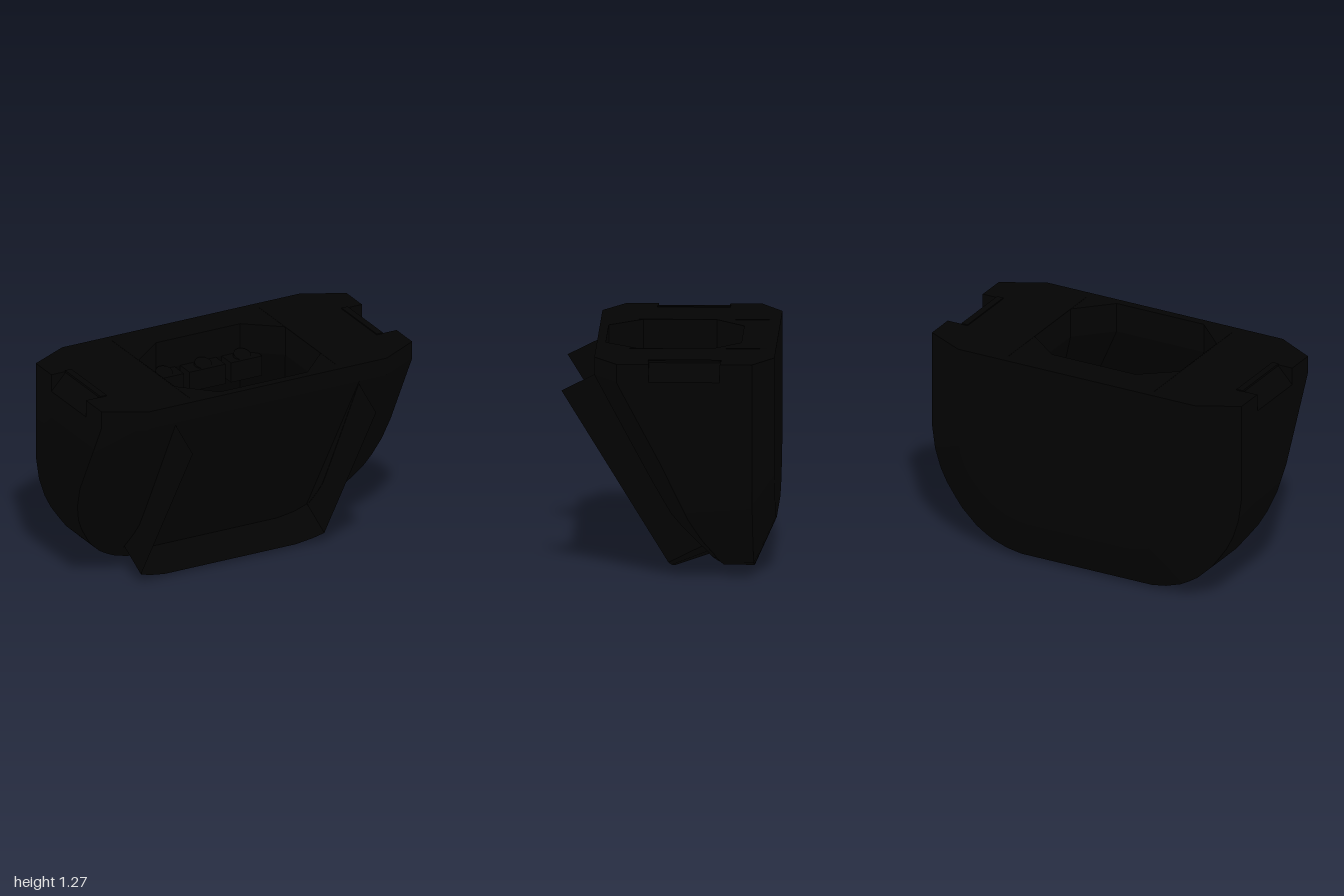
import * as THREE from 'three';
import { toCreasedNormals } from 'three/addons/utils/BufferGeometryUtils.js';

const shell = new THREE.MeshStandardMaterial({ color: 0x030303, side: THREE.DoubleSide });
shell.name = 'black shell';
const inner = new THREE.MeshStandardMaterial({ color: 0x000000, side: THREE.DoubleSide });
inner.name = 'dark interior';

// Skin between successive rows of points, with optional end caps and sharp creases
function loft(rows, { closed = true, capStart = false, capEnd = false } = {}) {
  const pos = [];
  const tri = (a, b, c) => {
    const [p, q, r] = [a, b, c].map(v => new THREE.Vector3(...v));
    if (new THREE.Triangle(p, q, r).getArea() > 1e-7) pos.push(...a, ...b, ...c);
  };
  const n = rows[0].length;
  for (let r = 0; r < rows.length - 1; r++) {
    for (let i = 0; i < (closed ? n : n - 1); i++) {
      const j = (i + 1) % n;
      const a = rows[r][i], b = rows[r][j], c = rows[r + 1][j], d = rows[r + 1][i];
      tri(a, b, c);
      tri(a, c, d);
    }
  }
  const cap = (row, flip) => {
    const mid = [0, 1, 2].map(k => row.reduce((s, p) => s + p[k], 0) / n);
    row.forEach((p, i) => {
      const q = row[(i + 1) % n];
      flip ? tri(mid, q, p) : tri(mid, p, q);
    });
  };
  if (capStart) cap(rows[0], true);
  if (capEnd) cap(rows[rows.length - 1], true);
  const g = new THREE.BufferGeometry();
  g.setAttribute('position', new THREE.Float32BufferAttribute(pos, 3));
  return toCreasedNormals(g, 0.4);
}

// Body slice: half width, front z, front flat half width, front chamfer depth,
// and the matching point on the edge of the flat back
function bodyRing([y, w, zf, fw, cham], back, notchX = w) {
  const panelX = Math.min(0.585, fw);
  const recess = y > 0.1 && y < 1.16 ? Math.min(zf, -0.24 + (y - 0.1) * 0.613) : zf;
  const zs = zf - cham;
  const a = Math.min(0.1, zs), b = Math.min(-0.3, zs);
  const half = [
    [panelX, y, recess], [panelX, y, zf], [fw, y, zf], [w, y, zs],
    [w, y, a], [notchX, y, a], [notchX, y, b], [w, y, b], [w, y, -0.48], back,
  ];
  return [...half, ...half.map(([x, h, z]) => [-x, h, z]).reverse()];
}

// Back edge is the side outline moved inwards
const backEdge = ([y, w]) => [w * 0.764, y < 0.69 ? 0.28 + (y - 0.025) * 0.66 : Math.max(y, 0.72), -0.6];

export function createModel() {
  const root = new THREE.Group();
  root.name = 'hopper';
  const add = (name, geo, mat = shell, x = 0, y = 0, z = 0) => {
    const m = new THREE.Mesh(geo, mat);
    m.name = name;
    m.position.set(x, y, z);
    root.add(m);
    return m;
  };

  // Body: U-shaped from the front, bevelled edges, sloping front
  const slices = [
    [0.025, 0.42, -0.32, 0.40, 0.00],
    [0.04, 0.51, -0.30, 0.46, 0.01],
    [0.07, 0.60, -0.275, 0.54, 0.02],
    [0.10, 0.655, -0.245, 0.59, 0.03],
    [0.135, 0.71, -0.22, 0.62, 0.04],
    [0.22, 0.80, -0.14, 0.66, 0.06],
    [0.28, 0.845, -0.085, 0.68, 0.08],
    [0.36, 0.90, -0.02, 0.70, 0.10],
    [0.44, 0.94, 0.025, 0.72, 0.11],
    [0.55, 0.975, 0.085, 0.74, 0.12],
    [0.69, 0.995, 0.16, 0.75, 0.13],
    [1.14, 0.995, 0.40, 0.76, 0.13],
    [1.16, 0.995, 0.41, 0.76, 0.13],
  ];
  const top = [1.262, 0.995, 0.41, 0.76, 0.13];
  const topRing = bodyRing(top, backEdge(top), 0.9);
  add('body', loft([
    bodyRing(slices[0], [0.42, 0.025, -0.48]),
    ...slices.map(s => bodyRing(s, backEdge(s))),
    topRing,
  ], { capStart: true }));

  // Octagonal opening in the top
  const mouth = [
    [0.28, 0.36], [0.47, 0.17], [0.47, -0.24], [0.27, -0.40],
    [-0.27, -0.40], [-0.47, -0.24], [-0.47, 0.17], [-0.28, 0.36],
  ];
  const to2 = ([x, z]) => new THREE.Vector2(x, -z);
  const lid = new THREE.Shape(topRing.map(p => to2([p[0], p[2]])));
  lid.holes.push(new THREE.Path(mouth.map(to2)));
  add('topPlate', new THREE.ShapeGeometry(lid).rotateX(-Math.PI / 2), shell, 0, 1.262, 0);

  // Straight collar, then a deep cavity whose front wall follows the sloping front
  const level = (y, maxZ) => mouth.map(([x, z]) => [x, y, Math.min(z, maxZ)]);
  add('cavityCollar', loft([level(1.262, 0.36), level(1.09, 0.36)]));
  add('cavity', loft([level(1.09, 0.36), level(0.17, -0.27)], { capEnd: true }), inner);

  // Three clips along the back of the cavity, each with a rounded catch
  for (const x of [-0.25, 0, 0.25]) {
    add('clip', new THREE.BoxGeometry(x ? 0.2 : 0.23, 0.12, 0.11), shell, x, 1.03, -0.345);
    const knob = add('clipCatch', new THREE.CylinderGeometry(0.05, 0.05, 0.03, 16), shell, x, 1.09, -0.345);
    knob.rotation.x = 0.35;
  }

  // Thin-walled tray standing out of the sloping front
  const mirror = pts => [...pts.map(([x, y, z]) => [-x, y, z]), ...pts.slice().reverse()];
  const rim = mirror([[0.587, 1.04, 0.6], [0.587, 0.065, 0.0], [0.52, 0.04, -0.017], [0.42, 0.02, -0.03]]);
  const foot = mirror([[0.587, 1.14, 0.4], [0.587, 0.165, -0.2], [0.52, 0.125, -0.235], [0.42, 0.095, -0.25]]);
  add('frontTrayWalls', loft([rim, foot], { closed: false }));

  // Small ridges above the side notches and seams on the top
  for (const s of [-1, 1]) {
    add('notchRidge', new THREE.BoxGeometry(0.04, 0.012, 0.41), shell, s * 0.885, 1.262, -0.1);
    add('topSeam', new THREE.BoxGeometry(0.005, 0.004, 0.9), inner, s * 0.47, 1.261, -0.1);
  }

  // Drain plug under the body
  add('drainPlug', new THREE.CylinderGeometry(0.038, 0.033, 0.03, 16), shell, -0.335, 0.015, -0.39);

  return root;
}
